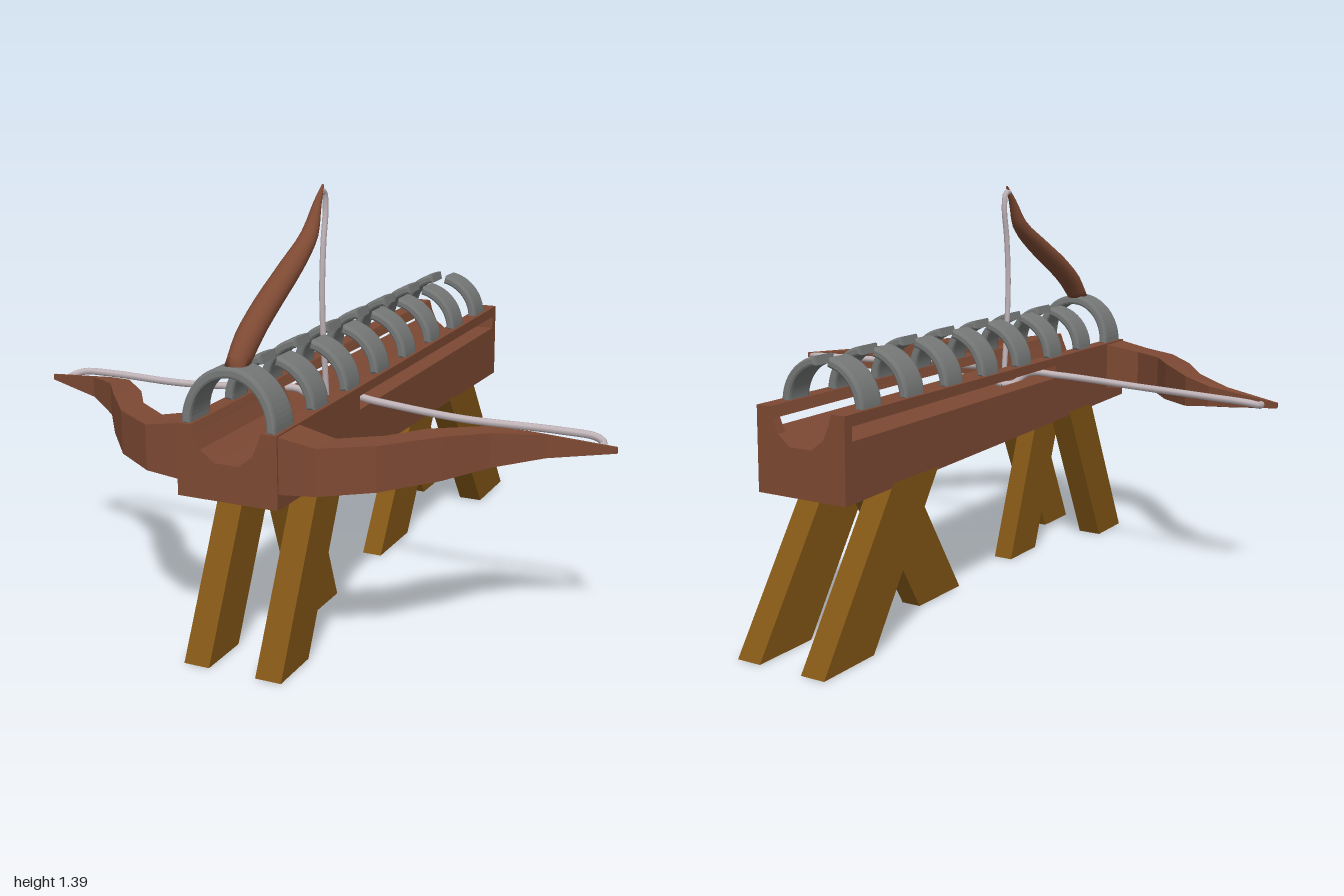
import * as THREE from 'three';

const mat = (color, opts = {}) => new THREE.MeshStandardMaterial({ color, ...opts });
const V = (x, y, z) => new THREE.Vector3(x, y, z);

// Skin over equal-sized rings of points, with end caps
function loft(rings, flat) {
  const n = rings[0].length, idx = [], last = (rings.length - 1) * n;
  for (let i = 0; i < rings.length - 1; i++) {
    for (let j = 0; j < n; j++) {
      const a = i * n + j, b = i * n + (j + 1) % n;
      idx.push(a, b, a + n, b, b + n, a + n);
    }
  }
  for (let j = 1; j < n - 1; j++) idx.push(0, j + 1, j, last, last + j, last + j + 1);
  let g = new THREE.BufferGeometry().setFromPoints(rings.flat());
  g.setIndex(idx);
  if (flat) g = g.toNonIndexed();
  g.computeVertexNormals();
  return g;
}

export function createModel() {
  const model = new THREE.Group();
  const wood = mat(0x7d4933), legWood = mat(0x825616), metal = mat(0x757777), cord = mat(0xc0b4b8);
  const add = (name, geo, material, parent = model) => {
    const m = new THREE.Mesh(geo, material);
    m.name = name;
    parent.add(m);
    return m;
  };

  // Stock: grooved beam whose underside drops slightly toward the back
  const beam = (name, pts, z0, z1) => {
    const shape = new THREE.Shape(pts.map(p => new THREE.Vector2(...p)));
    const g = new THREE.ExtrudeGeometry(shape, { depth: z1 - z0, bevelEnabled: false });
    g.translate(0, 0, z0);
    const p = g.attributes.position;
    for (let i = 0; i < p.count; i++) {
      const t = (0.98 - p.getZ(i)) / 1.845;
      if (p.getY(i) < 0.55) p.setY(i, 0.54 - 0.04 * t);
      else if (p.getY(i) > 0.75) p.setY(i, 0.762 + 0.01 * t);
    }
    g.computeVertexNormals();
    add(name, g, wood);
  };
  const mirrored = half => [...half, ...half.map(([x, y]) => [-x, y]).reverse()];
  const full = mirrored([[0.165, 0.54], [0.165, 0.77], [0.115, 0.77], [0.105, 0.735], [0.085, 0.69], [0.04, 0.655]]);
  const low = mirrored([[0.165, 0.54], [0.165, 0.69], [0.085, 0.69], [0.04, 0.655]]);
  // outline runs bottom right, up, through the groove, down the other side
  beam('stockFront', full, 0.42, 0.98);
  beam('stockMiddle', low, -0.83, 0.42);
  beam('stockBack', full, -0.865, -0.83);
  for (const s of [1, -1]) {
    const rail = [[0.165, 0.735], [0.165, 0.77], [0.115, 0.77], [0.105, 0.735]].map(([x, y]) => [s * x, y]);
    beam(s > 0 ? 'leftRail' : 'rightRail', s > 0 ? rail : rail.reverse(), -0.83, 0.42);
  }

  // Legs: slanted planks, two outer and one central at each end
  const leg = (name, x, w, zBottom, zTop, dz, top) => {
    const g = new THREE.BoxGeometry(w, top, dz);
    const p = g.attributes.position;
    for (let i = 0; i < p.count; i++) {
      p.setZ(i, p.getZ(i) + (p.getY(i) > 0 ? zTop : zBottom));
    }
    g.translate(x, top / 2, 0);
    g.computeVertexNormals();
    add(name, g, legWood);
  };
  for (const x of [0.122, -0.122]) {
    leg('frontOuterLeg', x, 0.086, 0.89, 0.62, 0.18, 0.545);
    leg('backOuterLeg', x, 0.086, -0.858, -0.495, 0.25, 0.52);
  }
  leg('frontCentreLeg', 0, 0.07, 0.418, 0.62, 0.185, 0.545);
  leg('backCentreLeg', 0, 0.07, -0.163, -0.495, 0.25, 0.52);

  // Side bow limbs: rows of [x outer, z outer, x inner, z inner, y top, y bottom]
  const limb = [
    [0.14, 0.975, 0.14, 0.835, 0.762, 0.585],
    [0.28, 0.965, 0.29, 0.857, 0.737, 0.595],
    [0.425, 0.875, 0.41, 0.775, 0.738, 0.6],
    [0.56, 0.72, 0.49, 0.665, 0.738, 0.605],
    [0.66, 0.59, 0.63, 0.525, 0.725, 0.618],
    [0.8, 0.49, 0.74, 0.47, 0.708, 0.637],
    [1.0, 0.443, 1.0, 0.433, 0.682, 0.664],
  ];
  for (const s of [1, -1]) {
    const rings = limb.map(([xo, zo, xi, zi, t, b]) =>
      [V(s * xi, t, zi), V(s * xo, t, zo), V(s * xo, b, zo), V(s * xi, b, zi)]);
    if (s < 0) rings.reverse();
    add(s > 0 ? 'leftLimb' : 'rightLimb', loft(rings, true), wood);
  }

  // Upper limb: oval section between an upper and a lower edge curve
  const curve = pts => new THREE.CatmullRomCurve3(pts.map(p => V(...p)));
  const upper = curve([[0, 0.935, 0.95], [0, 1.02, 0.87], [0, 1.105, 0.74], [0, 1.185, 0.585],
    [0, 1.26, 0.45], [0, 1.34, 0.385], [0, 1.386, 0.34]]);
  const lower = curve([[0, 0.93, 0.85], [0, 0.985, 0.79], [0, 1.04, 0.705], [0, 1.14, 0.53],
    [0, 1.225, 0.415], [0, 1.32, 0.37], [0, 1.38, 0.335]]);
  const width = curve([[0.034, 0, 0], [0.04, 0, 0], [0.041, 0, 0], [0.038, 0, 0],
    [0.028, 0, 0], [0.014, 0, 0], [0.004, 0, 0]]);
  const armRings = [];
  for (let i = 0; i <= 18; i++) {
    const a = upper.getPoint(i / 18), b = lower.getPoint(i / 18), w = width.getPoint(i / 18).x;
    const mid = a.clone().add(b).multiplyScalar(0.5), u = a.sub(b).multiplyScalar(0.5);
    armRings.push(Array.from({ length: 14 }, (_, k) => {
      const t = k / 14 * Math.PI * 2;
      return mid.clone().addScaledVector(u, -Math.sin(t)).add(V(w * Math.cos(t), 0, 0));
    }));
  }
  add('upperLimb', loft(armRings, false), wood);

  // Arched guide bands along the stock
  const band = (a0, a1, depth) => {
    const shape = new THREE.Shape();
    shape.absarc(0, 0, 0.146, a0, a1, false);
    shape.absarc(0, 0, 0.132, a1, a0, true);
    const g = new THREE.ExtrudeGeometry(shape, { depth: depth - 0.024, curveSegments: 16,
      bevelThickness: 0.012, bevelSize: 0.008, bevelSegments: 2 });
    return g.translate(0, 0, -(depth - 0.024) / 2);
  };
  const half = band(0.05, 1.34, 0.105);
  for (let i = 0; i < 7; i++) {
    for (const s of [1, -1]) {
      const m = add(s > 0 ? 'leftGuideBand' : 'rightGuideBand', half, metal);
      m.position.set(0, 0.765, 0.67 - 0.23 * i);
      if (s < 0) m.rotation.y = Math.PI;
    }
  }
  // Closed front arch that carries the upper limb, slightly wider at its feet
  const arch = band(0, Math.PI, 0.125);
  const ap = arch.attributes.position;
  for (let i = 0; i < ap.count; i++) ap.setZ(i, ap.getZ(i) * (1 - 1.4 * Math.max(0, ap.getY(i))));
  arch.scale(1, 1.12, 1);
  arch.computeVertexNormals();
  add('frontArch', arch, metal).position.set(0, 0.765, 0.908);

  // Bow strings meeting in the groove
  const string = (name, pts, r) =>
    add(name, new THREE.TubeGeometry(curve(pts), 48, r, 8, false), cord);
  for (const s of [1, -1]) {
    string(s > 0 ? 'leftString' : 'rightString', [[0.94, 0.67, 0.45], [0.95, 0.675, 0.4], [0.92, 0.685, 0.374],
      [0.8, 0.69, 0.372], [0.5, 0.695, 0.395], [0.2, 0.71, 0.375], [0.09, 0.712, 0.35],
      [0.04, 0.672, 0.328], [0, 0.665, 0.32]].map(([x, y, z]) => [s * x, y, z]), 0.012);
  }
  string('upperString', [[0, 1.365, 0.352], [0, 1.36, 0.33], [0, 1.31, 0.32], [0, 1.2, 0.338],
    [0, 1.05, 0.35], [0, 0.9, 0.345], [0, 0.75, 0.33], [0, 0.665, 0.322]], 0.01);

  return model;
}
